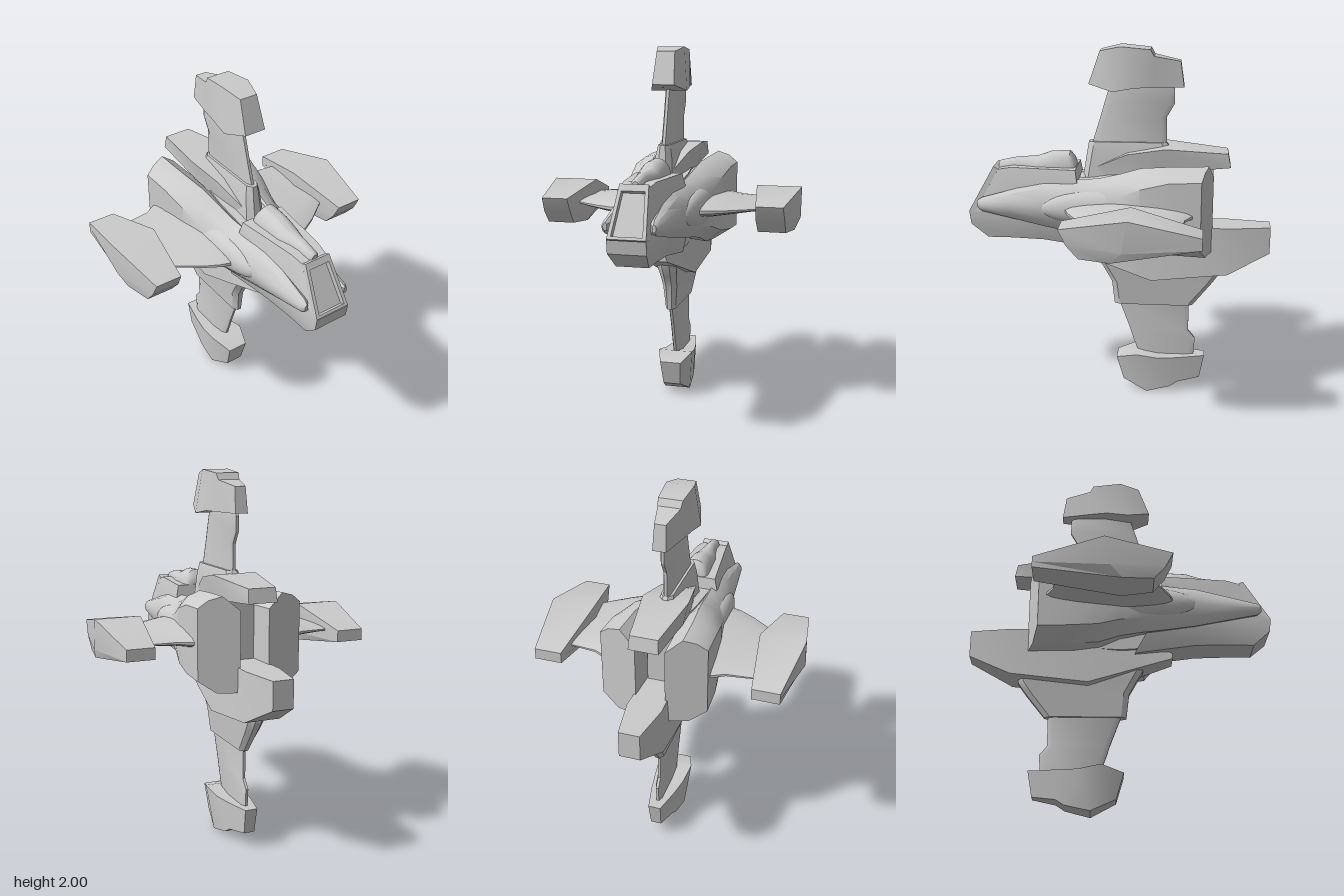
import * as THREE from 'three';
import { toCreasedNormals } from 'three/addons/utils/BufferGeometryUtils.js';

const material = new THREE.MeshStandardMaterial({ color: 0xcccccc });

// Skin over matching closed rings of [x, y, z], with both ends capped.
function loft(rings, crease = 0.5) {
  const tris = [];
  const quad = (a, b, c, d) => tris.push([a, b, c], [a, c, d]);
  const n = rings[0].length;
  for (let r = 0; r < rings.length - 1; r++) {
    for (let i = 0; i < n; i++) {
      const j = (i + 1) % n;
      quad(rings[r][i], rings[r][j], rings[r + 1][j], rings[r + 1][i]);
    }
  }
  const cap = (g, flip) => {
    for (let i = 0; i < n / 2 - 1; i++) {
      const q = [g[i], g[n - 1 - i], g[n - 2 - i], g[i + 1]];
      quad(...(flip ? q.reverse() : q));
    }
  };
  cap(rings[0], false);
  cap(rings[rings.length - 1], true);
  // A negative volume means the faces point inwards, so turn them round.
  let volume = 0;
  const [a, b, c] = [0, 0, 0].map(() => new THREE.Vector3());
  for (const t of tris) volume += a.set(...t[0]).dot(b.set(...t[1]).cross(c.set(...t[2])));
  if (volume < 0) tris.forEach((t) => t.reverse());
  const geo = new THREE.BufferGeometry();
  geo.setAttribute('position', new THREE.Float32BufferAttribute(tris.flat(2), 3));
  return toCreasedNormals(geo, crease);
}

// Symmetric body: every section is a list of rows [z, y, halfWidth], top to bottom.
function stack(sections) {
  return loft(sections.map((rows) => [
    ...rows.map(([z, y, w]) => [w, y, z]),
    ...rows.map(([z, y, w]) => [-w, y, z]).reverse(),
  ]));
}

// Thin fin with bevelled edges from rows [y, zFront, zRear, halfWidth].
function fin(rows) {
  const cut = (pos, k) => rows.map(([y, f, r, w]) => [pos(f, r), y, w * k]);
  return stack([
    cut((f) => f, 0.4), cut((f) => f - 0.03, 1),
    cut((f, r) => r + 0.03, 1), cut((f, r) => r, 0.4),
  ]);
}

// Side hull: sections [z, inner x, outer x, bottom y, top y, blend to the boxy tail, rear slant].
const ROUND = [[0, 0.8], [0.35, 1], [0.7, 0.9], [0.95, 0.65], [1, 0.45], [0.9, 0.2], [0.6, 0], [0, 0.1]];
const BOXY = [[0, 0.85], [0.42, 1], [0.75, 0.96], [1, 0.88], [1, 0.5], [1, 0.13], [0.55, 0], [0, 0]];
const HULL = [
  [0.785, 0.115, 0.135, 1.12, 1.16, 0, 0],
  [0.76, 0.10, 0.15, 1.10, 1.175, 0, 0],
  [0.6, 0.08, 0.17, 1.065, 1.22, 0, 0],
  [0.42, 0.06, 0.19, 1.025, 1.27, 0, 0],
  [0.25, 0.05, 0.215, 0.995, 1.285, 0, 0],
  [0.12, 0.05, 0.23, 0.975, 1.295, 0.1, 0],
  [0.0, 0.05, 0.25, 0.95, 1.325, 0.35, 0],
  [-0.12, 0.06, 0.27, 0.905, 1.365, 0.7, 0],
  [-0.28, 0.07, 0.285, 0.892, 1.38, 1, 0],
  [-0.51, 0.08, 0.29, 0.885, 1.388, 1, 0.065],
];
function hull(side) {
  return loft(HULL.map(([z, xi, xo, yb, yt, t, slant]) => ROUND.map(([u0, v0], i) => {
    const u = THREE.MathUtils.lerp(u0, BOXY[i][0], t);
    const v = THREE.MathUtils.lerp(v0, BOXY[i][1], t);
    return [side * (xi + (xo - xi) * u), yb + (yt - yb) * v, z + slant * u];
  })), 0.6);
}

// Wing: oval sections [x, leading z, trailing z, half thickness].
function wing(side) {
  const sections = [
    [0.15, 0.31, -0.44, 0.06], [0.22, 0.29, -0.43, 0.055], [0.28, 0.27, -0.41, 0.05],
    [0.36, 0.225, -0.365, 0.038], [0.45, 0.16, -0.355, 0.028], [0.54, 0.09, -0.345, 0.02],
  ];
  return loft(sections.map(([x, front, back, h]) => Array.from({ length: 20 }, (_, i) => {
    const a = ((i + 0.5) / 20) * Math.PI * 2;
    return [side * x, 1.14 + h * Math.sin(a), (front + back) / 2 + ((front - back) / 2) * Math.cos(a)];
  })), 0.9);
}

export function createModel() {
  const model = new THREE.Group();
  const add = (name, geo, x = 0, y = 0, z = 0) => {
    const mesh = new THREE.Mesh(geo, material);
    mesh.name = name;
    mesh.position.set(x, y, z);
    model.add(mesh);
    return mesh;
  };

  // Cockpit block with a recessed, slanted windscreen
  add('cockpit', stack([
    [[0.674, 1.325, 0.075], [0.814, 1.075, 0.1], [0.84, 1.085, 0.1], [0.83, 1.015, 0.1], [0.74, 0.935, 0.085]],
    [[0.6, 1.34, 0.085], [0.6, 1.22, 0.108], [0.6, 1.1, 0.112], [0.6, 1.02, 0.11], [0.6, 0.935, 0.085]],
    [[0.42, 1.34, 0.105], [0.42, 1.22, 0.13], [0.42, 1.1, 0.13], [0.42, 1.02, 0.12], [0.42, 0.93, 0.09]],
    [[0.24, 1.34, 0.125], [0.23, 1.28, 0.14], [0.2, 1.1, 0.14], [0.15, 1.0, 0.13], [0.08, 0.88, 0.09]],
  ]));
  const frame = new THREE.Shape([[-0.1, 0], [0.1, 0], [0.075, 0.287], [-0.075, 0.287]].map((p) => new THREE.Vector2(...p)));
  frame.holes.push(new THREE.Path([[-0.08, 0.015], [-0.06, 0.25], [0.06, 0.25], [0.08, 0.015]].map((p) => new THREE.Vector2(...p))));
  const screen = add('windscreenFrame', new THREE.ExtrudeGeometry(frame, { depth: 0.03, bevelEnabled: false }), 0, 1.075, 0.814);
  screen.rotation.x = -0.51;

  // Rounded canopy from sections [z, half width, top y]
  const canopy = [
    [0.68, 0.018, 1.35], [0.665, 0.03, 1.362], [0.58, 0.038, 1.38], [0.53, 0.045, 1.384], [0.46, 0.066, 1.39],
    [0.38, 0.07, 1.418], [0.28, 0.076, 1.422], [0.255, 0.07, 1.39], [0.245, 0.06, 1.35],
  ];
  add('canopy', loft(canopy.map(([z, w, top]) => Array.from({ length: 14 }, (_, i) => {
    const a = (i / 13) * Math.PI;
    return [w * Math.cos(a), 1.325 + (top - 1.325) * Math.sin(a), z];
  })), 0.8));
  add('rearDome', new THREE.SphereGeometry(0.04, 16, 12), 0, 1.27, 0.19);

  // Central core between the side hulls
  add('core', stack([
    [[0.26, 1.27, 0.1], [0.26, 0.92, 0.09]],
    [[0, 1.31, 0.1], [0, 0.9, 0.09]],
    [[-0.35, 1.36, 0.07], [-0.35, 0.93, 0.07]],
  ]));

  // Paired hulls, wings and wing pods
  for (const [label, s] of [['left', 1], ['right', -1]]) {
    add(label + 'Hull', hull(s));
    add(label + 'WingFairing', new THREE.SphereGeometry(1, 32, 20).scale(0.08, 0.11, 0.43), s * 0.17, 1.14, 0);
    add(label + 'Wing', wing(s));
    add(label + 'WingPod', stack([
      [[0.26, 1.18, 0.073], [0.22, 1.1, 0.077], [0.16, 1.03, 0.075]],
      [[-0.09, 1.245, 0.125], [-0.06, 1.08, 0.125], [0, 1.02, 0.1]],
      [[-0.455, 1.152, 0.075], [-0.455, 1.12, 0.075], [-0.455, 1.09, 0.075]],
    ]), s * 0.595);
  }

  // Dorsal spine, upper fin and its tip pod
  add('dorsalSpine', stack([
    [[0.13, 1.345, 0.05], [0.1, 1.3, 0.05]],
    [[-0.04, 1.425, 0.092], [-0.06, 1.31, 0.08]],
    [[-0.25, 1.465, 0.125], [-0.25, 1.33, 0.095]],
    [[-0.585, 1.435, 0.075], [-0.6, 1.36, 0.08]],
  ]));
  add('upperFinBase', fin([[1.48, 0.175, -0.25, 0.033], [1.42, 0.185, -0.29, 0.045], [1.27, 0.21, -0.29, 0.055]]));
  add('upperFin', fin([
    [1.82, 0.05, -0.255, 0.02], [1.77, 0.065, -0.29, 0.02], [1.69, 0.09, -0.29, 0.02],
    [1.62, 0.11, -0.25, 0.02], [1.46, 0.16, -0.25, 0.02],
  ]));
  add('upperTipPod', stack([
    [[0.11, 1.975, 0.05], [0.17, 1.8, 0.06]],
    [[0, 2, 0.075], [0.04, 1.765, 0.1]],
    [[-0.16, 1.985, 0.065], [-0.08, 1.785, 0.088]],
    [[-0.18, 1.95, 0.06], [-0.18, 1.785, 0.07]],
    [[-0.32, 1.922, 0.03], [-0.34, 1.785, 0.035]],
  ]));

  // Ventral keel, lower pylon, fin and its tip pod
  add('keel', stack([
    [[0.29, 0.9, 0.045], [0.29, 0.865, 0.055]],
    [[0.06, 1.0, 0.07], [0.06, 0.785, 0.08]],
    [[-0.175, 1.02, 0.08], [-0.175, 0.705, 0.1]],
    [[-0.6, 1.02, 0.095], [-0.6, 0.752, 0.1]],
    [[-0.83, 1.02, 0.057], [-0.83, 0.87, 0.057]],
  ]));
  add('lowerPylon', fin([
    [0.86, 0.14, -0.56, 0.055], [0.8, 0.125, -0.56, 0.055], [0.73, 0.085, -0.56, 0.046],
    [0.665, 0.05, -0.515, 0.04], [0.53, 0.035, -0.41, 0.028],
  ]));
  add('lowerFin', fin([
    [0.56, 0.015, -0.39, 0.018], [0.37, -0.055, -0.39, 0.018], [0.32, -0.07, -0.43, 0.018], [0.18, -0.12, -0.42, 0.018],
  ]));
  add('lowerTipPod', stack([
    [[0.02, 0.21, 0.06], [-0.02, 0.07, 0.05]],
    [[-0.1, 0.245, 0.1], [-0.155, 0.003, 0.075]],
    [[-0.22, 0.222, 0.088], [-0.29, 0.035, 0.065]],
    [[-0.33, 0.222, 0.07], [-0.335, 0.065, 0.06]],
    [[-0.485, 0.225, 0.035], [-0.46, 0.085, 0.03]],
  ]));

  return model;
}
